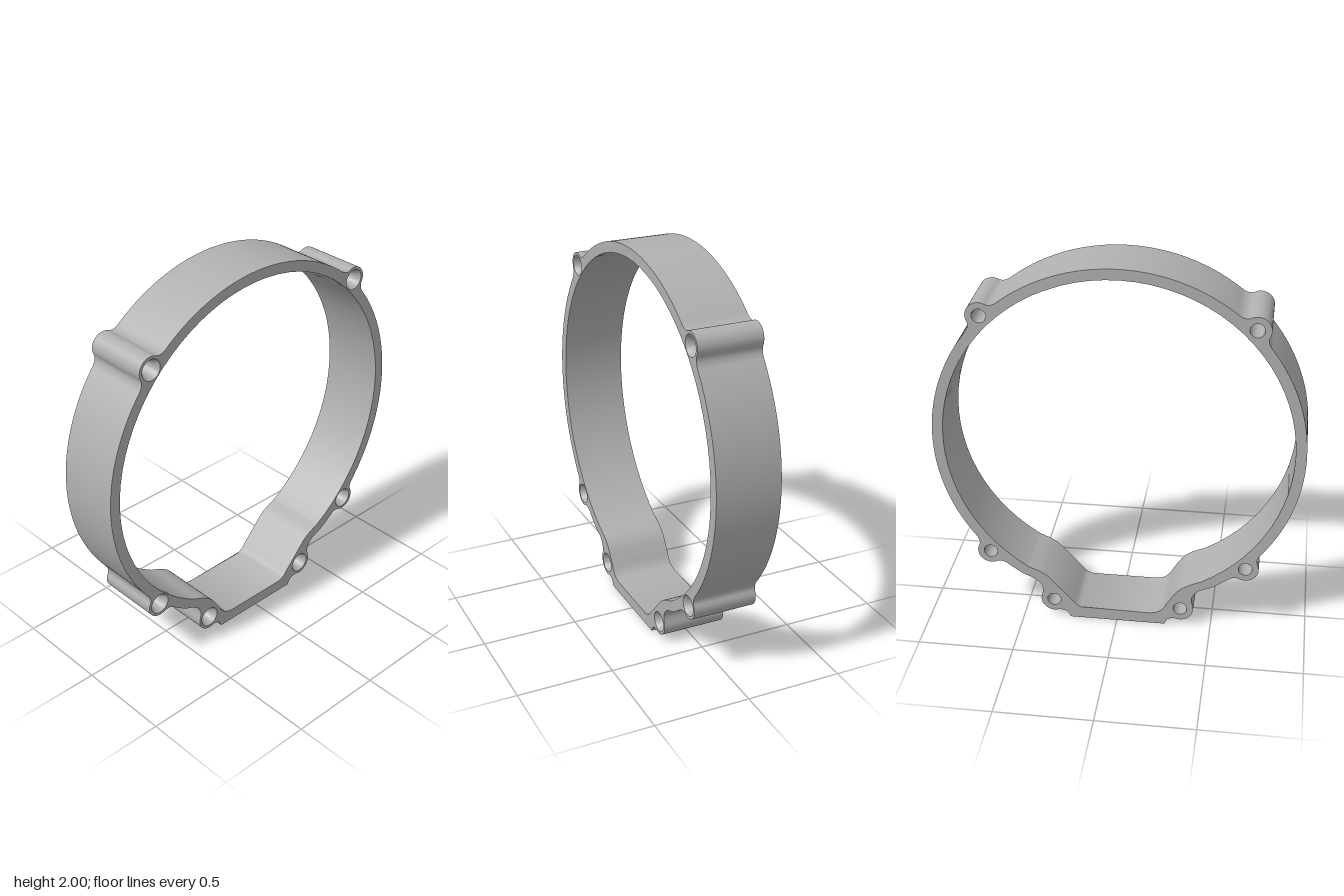
import * as THREE from 'three';
import { toCreasedNormals } from 'three/addons/utils/BufferGeometryUtils.js';

const CY = 1.055, OUTER = 0.945, INNER = 0.89; // ring centre height and radii
const HALF_DEPTH = 0.168, SINK_DEPTH = 0.035;
const BOSS_R = 0.069, BORE_R = 0.036, SINK_R = 0.054;
const rad = THREE.MathUtils.degToRad;
const v = (x, y) => new THREE.Vector2(x, y);
const polar = (x, y, r, deg) => v(x + r * Math.cos(rad(deg)), y + r * Math.sin(rad(deg)));

const RING_BOSSES = [-45, 45, 135, 225];
const bossCentres = [
  ...RING_BOSSES.map((a) => polar(0, CY, 0.95, a)),
  v(0.338, 0.105), v(-0.338, 0.105),
];

function arc(path, x, y, r, from, to) {
  path.absarc(x, y, r, rad(from), rad(to), false);
}

// Outer outline, anticlockwise from the flat foot
function outerOutline() {
  const s = new THREE.Shape();
  s.moveTo(-0.255, 0);
  s.lineTo(0.25, 0);
  s.splineThru([v(0.268, 0.031), polar(0.338, 0.105, BOSS_R, 245)]);
  arc(s, 0.338, 0.105, BOSS_R, 245, 375);
  s.splineThru([v(0.398, 0.165), v(0.408, 0.197), v(0.438, 0.226), polar(0, CY, OUTER, -58)]);

  // Ring with a filleted screw boss at each diagonal
  let from = -58;
  const fillet = 7.5;
  RING_BOSSES.forEach((a, i) => {
    const c = bossCentres[i];
    arc(s, 0, CY, OUTER, from, a - fillet);
    const k1 = polar(0, CY, OUTER, a - 4.6), b1 = polar(c.x, c.y, BOSS_R, a - 70);
    s.quadraticCurveTo(k1.x, k1.y, b1.x, b1.y);
    arc(s, c.x, c.y, BOSS_R, a - 70, a + 70);
    const k2 = polar(0, CY, OUTER, a + 4.6), b2 = polar(0, CY, OUTER, a + fillet);
    s.quadraticCurveTo(k2.x, k2.y, b2.x, b2.y);
    from = a + fillet;
  });
  arc(s, 0, CY, OUTER, from, 238);

  s.splineThru([v(-0.438, 0.226), v(-0.408, 0.197), v(-0.398, 0.165), polar(-0.338, 0.105, BOSS_R, 165)]);
  arc(s, -0.338, 0.105, BOSS_R, 165, 295);
  s.splineThru([v(-0.273, 0.031), v(-0.255, 0)]);
  return s;
}

// Inner opening: round, narrowing to a flat-bottomed neck (curved left wall, straight right wall)
function innerOpening() {
  const p = new THREE.Path();
  const start = polar(0, CY, INNER, -58);
  p.moveTo(start.x, start.y);
  arc(p, 0, CY, INNER, -58, 240);
  p.splineThru([v(-0.37, 0.25), v(-0.32, 0.21), v(-0.278, 0.148), v(-0.25, 0.102), v(-0.22, 0.074), v(-0.177, 0.062)]);
  p.lineTo(0.177, 0.062);
  p.splineThru([v(0.212, 0.077), v(0.24, 0.107)]);
  p.lineTo(0.37, 0.248);
  p.splineThru([v(0.41, 0.273), start]);
  return p;
}

function housingGeometry() {
  const shape = outerOutline();
  shape.holes.push(innerOpening());
  for (const c of bossCentres) {
    const hole = new THREE.Path();
    hole.absarc(c.x, c.y, SINK_R, 0, Math.PI * 2, true);
    shape.holes.push(hole);
  }
  const geo = new THREE.ExtrudeGeometry(shape, { depth: 1, steps: 2, bevelEnabled: false, curveSegments: 32 });

  // Set the three depth levels; behind the front face, shrink the holes to leave countersinks
  const pos = geo.attributes.position;
  for (let i = 0; i < pos.count; i++) {
    const level = pos.getZ(i);
    const z = level > 0.9 ? HALF_DEPTH : level > 0.4 ? HALF_DEPTH - SINK_DEPTH : -HALF_DEPTH;
    let x = pos.getX(i), y = pos.getY(i);
    if (level < 0.9) {
      const c = bossCentres.find((b) => Math.hypot(x - b.x, y - b.y) < SINK_R + 0.002);
      if (c) {
        x = c.x + (x - c.x) * BORE_R / SINK_R;
        y = c.y + (y - c.y) * BORE_R / SINK_R;
      }
    }
    pos.setXYZ(i, x, y, z);
  }
  return toCreasedNormals(geo, rad(28));
}

export function createModel() {
  const group = new THREE.Group();
  group.name = 'ringSpacer';
  const grey = new THREE.MeshStandardMaterial({ color: 0xb0b0b0 });
  grey.name = 'grey';
  const housing = new THREE.Mesh(housingGeometry(), grey);
  housing.name = 'ringHousing';
  group.add(housing);
  return group;
}
